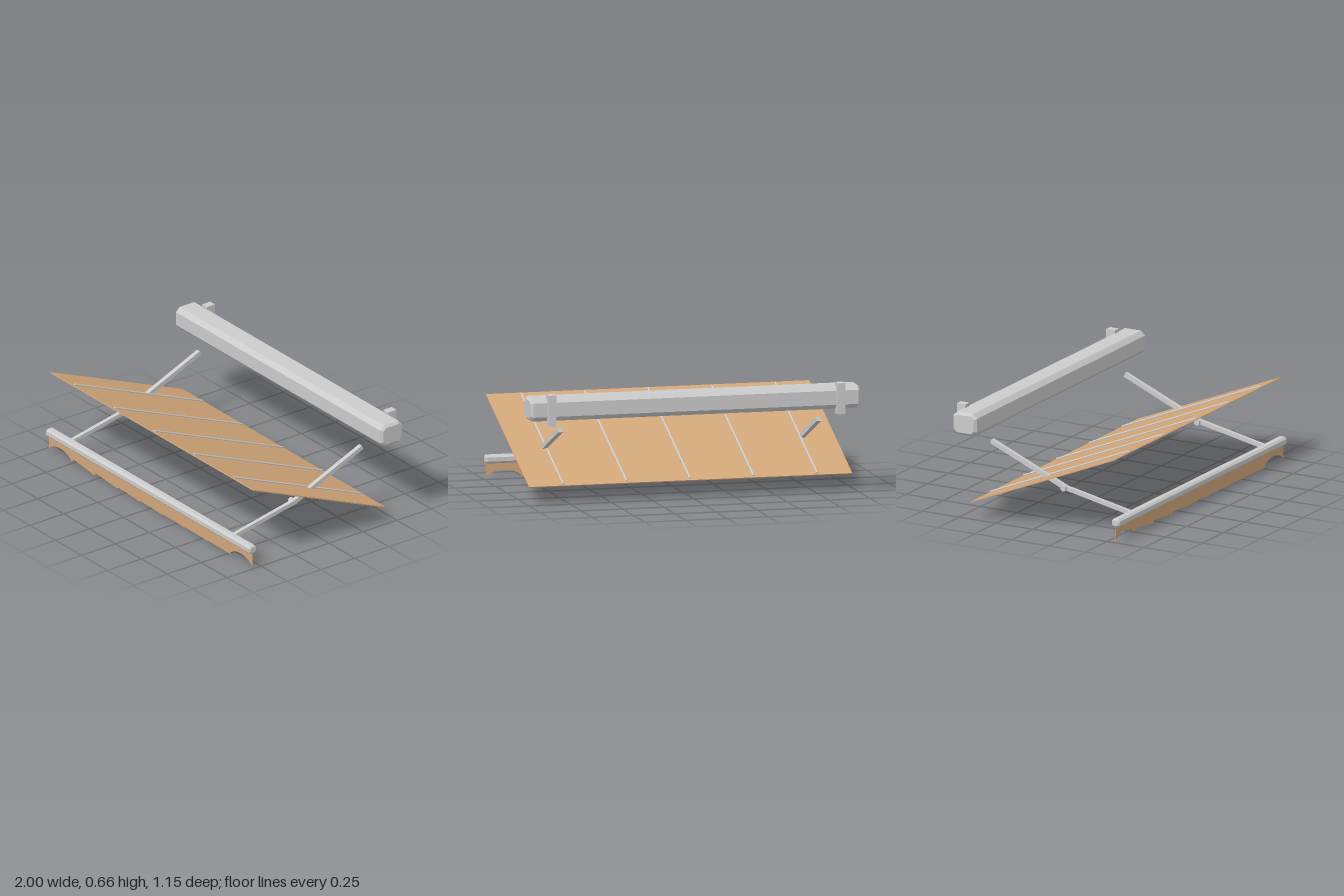
import * as THREE from 'three';

const metal = new THREE.MeshStandardMaterial({ color: 0xcccccc, flatShading: true });
const cloth = new THREE.MeshStandardMaterial({ color: 0xd2a679, side: THREE.DoubleSide });

export function createModel() {
  const model = new THREE.Group();
  const add = (name, geometry, material, x, y, z, parent = model) => {
    const mesh = new THREE.Mesh(geometry, material);
    mesh.name = name;
    mesh.position.set(x, y, z);
    parent.add(mesh);
    return mesh;
  };

  // Horizontal housing along x: chamfered profile with bevelled ends
  const housing = (length, h, d, cut, bevel) => {
    const a = d / 2 - bevel, b = h / 2 - bevel, c = cut;
    const shape = new THREE.Shape([
      [-a + c, -b], [a - c, -b], [a, -b + c], [a, b - c],
      [a - c, b], [-a + c, b], [-a, b - c], [-a, -b + c],
    ].map(([x, y]) => new THREE.Vector2(x, y)));
    const g = new THREE.ExtrudeGeometry(shape, {
      depth: length - 2 * bevel, bevelEnabled: true, bevelThickness: bevel,
      bevelSize: bevel, bevelSegments: 1,
    });
    g.translate(0, 0, -length / 2 + bevel);
    return g.rotateY(Math.PI / 2);
  };

  add('cassette', housing(2, 0.137, 0.16, 0.018, 0.015), metal, 0, 0.572, -0.467);
  add('frontBar', housing(1.97, 0.05, 0.055, 0.008, 0.008), metal, 0, 0.115, 0.547);

  // Square bar between two points of a plane of constant x
  const bar = (name, x, [y0, z0], [y1, z1], size) => {
    const length = Math.hypot(y1 - y0, z1 - z0);
    const mesh = add(name, new THREE.BoxGeometry(size, size, length), metal,
      x, (y0 + y1) / 2, (z0 + z1) / 2);
    mesh.rotation.x = -Math.atan2(y1 - y0, z1 - z0);
  };

  // Wall brackets and folding arms on both sides
  for (const [side, s] of [['left', 1], ['right', -1]]) {
    add(side + 'WallBracket', new THREE.BoxGeometry(0.046, 0.184, 0.06), metal, s * 0.876, 0.569, -0.543);
    const x = s * 0.783;
    bar(side + 'UpperArm', x, [0.427, -0.403], [0.213, 0.1], 0.027);
    bar(side + 'Forearm', x, [0.215, 0.095], [0.125, 0.54], 0.025);
    add(side + 'Elbow', new THREE.CylinderGeometry(0.018, 0.018, 0.04, 12).rotateZ(Math.PI / 2),
      metal, x - 0.012, 0.215, 0.095);
  }

  // Sloping canopy with ribs along its upper face
  const canopy = new THREE.Group();
  canopy.name = 'canopy';
  canopy.position.set(0, 0.299, 0.055);
  canopy.rotation.x = -Math.atan2(0.4, 0.97);
  model.add(canopy);
  add('fabric', new THREE.BoxGeometry(1.96, 0.006, 1.049), cloth, 0, 0, 0, canopy);
  for (let i = -2; i <= 2; i++) {
    add('rib', new THREE.CylinderGeometry(0.006, 0.006, 1.02, 8).rotateX(Math.PI / 2),
      metal, i * 0.385, 0.006, 0, canopy);
  }

  // Valance: deep arches at both ends, shallow scallops between
  const count = 9, pitch = 1.96 / count;
  const start = [0.006, 0.026, 0.02, 0.012, 0.008, 0.006, 0.006, 0.006, 0.006];
  const valance = new THREE.Shape();
  valance.moveTo(-0.98, 0.11);
  for (let i = 0; i < count; i++) {
    const x = -0.98 + i * pitch;
    valance.lineTo(x + (i && i < 4 ? 0.015 : 0), start[i]);
    const deep = i === 0 || i === count - 1;
    valance.bezierCurveTo(x + pitch * 0.2, deep ? 0.062 : start[i] * 0.9,
      x + pitch * 0.75, deep ? 0.062 : 0.008, x + pitch, deep ? 0.006 : 0.001);
  }
  valance.lineTo(0.98, 0.11);
  valance.closePath();
  add('valance', new THREE.ExtrudeGeometry(valance, { depth: 0.005, bevelEnabled: false }),
    cloth, 0, 0, 0.545);

  return model;
}
